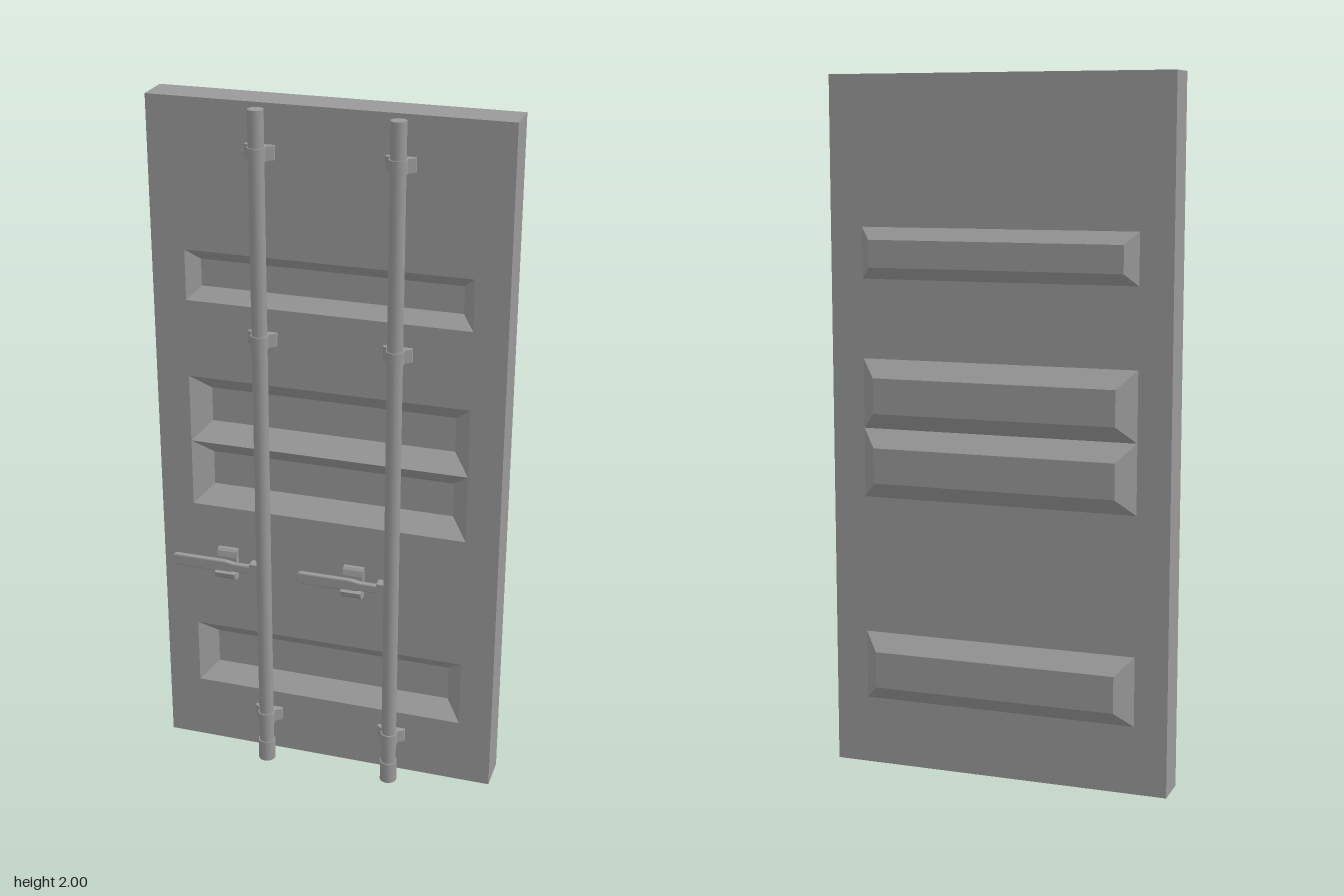
import * as THREE from 'three';

const W = 0.497, Y0 = 0.02, Y1 = 2, ZF = 0.049, ZB = -0.056; // door slab
const BAR_Z = 0.08;
// pressed panels: bottom, top, depth
const PANELS = [[0.216, 0.415, 0.047], [0.813, 1.012, 0.049], [1.012, 1.211, 0.049], [1.436, 1.581, 0.034]];
const PANEL_W = 0.402;

// flat-shaded geometry from four-cornered faces
function quads(list) {
  const pos = [];
  for (const [a, b, c, d] of list) pos.push(...a, ...b, ...c, ...a, ...c, ...d);
  const g = new THREE.BufferGeometry();
  g.setAttribute('position', new THREE.Float32BufferAttribute(pos, 3));
  g.computeVertexNormals();
  return g;
}

const rect = (w, y0, y1, z) => [[-w, y0, z], [w, y0, z], [w, y1, z], [-w, y1, z]];

// sheet with openings where the panels are pressed
function sheetGeometry() {
  const s = new THREE.Shape(rect(W, Y0, Y1, 0).map(p => new THREE.Vector2(p[0], p[1])));
  for (const [a, b] of [[0.216, 0.415], [0.813, 1.211], [1.436, 1.581]]) {
    s.holes.push(new THREE.Path(rect(PANEL_W, a, b, 0).reverse().map(p => new THREE.Vector2(p[0], p[1]))));
  }
  return new THREE.ShapeGeometry(s);
}

// sloped tray sinking towards -z; flipped it becomes the bulge on the back
function trayGeometry(y0, y1, d, z, flip) {
  const o = rect(PANEL_W, y0, y1, z), i = rect(PANEL_W - d, y0 + d, y1 - d, z - d);
  const faces = [i];
  for (let k = 0; k < 4; k++) {
    const n = (k + 1) % 4;
    faces.push([o[k], o[n], i[n], i[k]]);
  }
  return quads(flip ? faces.map(f => [...f].reverse()) : faces);
}

// prism with its outline in (z, y), running along x and centred on it
function prismX(points, length) {
  const s = new THREE.Shape(points.map(([z, y]) => new THREE.Vector2(-z, y)));
  const g = new THREE.ExtrudeGeometry(s, { depth: length, bevelEnabled: false });
  return g.translate(0, 0, -length / 2).rotateY(Math.PI / 2);
}

export function createModel() {
  const root = new THREE.Group();
  root.name = 'containerDoor';
  const steel = new THREE.MeshStandardMaterial({ color: 0x999999 });
  steel.name = 'greySteel';
  const add = (parent, name, geo, x = 0, y = 0, z = 0) => {
    const m = new THREE.Mesh(geo, steel);
    m.name = name;
    m.position.set(x, y, z);
    parent.add(m);
    return m;
  };

  // door slab
  const door = new THREE.Group();
  door.name = 'doorPanel';
  root.add(door);
  add(door, 'frontSheet', sheetGeometry(), 0, 0, ZF);
  add(door, 'backSheet', sheetGeometry().rotateY(Math.PI), 0, 0, ZB);
  const f = rect(W, Y0, Y1, ZF), b = rect(W, Y0, Y1, ZB);
  add(door, 'doorEdges', quads([0, 1, 2, 3].map(k => {
    const n = (k + 1) % 4;
    return [f[k], b[k], b[n], f[n]];
  })));
  for (const [y0, y1, d] of PANELS) {
    add(door, 'frontRecess', trayGeometry(y0, y1, d, ZF, false));
    add(door, 'backBulge', trayGeometry(y0, y1, d, ZB, true));
  }

  // clamp foot outline in (x, z), extruded upwards
  const footShape = new THREE.Shape([
    [-0.041, ZF], [-0.041, 0.058], [-0.022, 0.072], [0.022, 0.072], [0.041, 0.058], [0.041, ZF],
  ].map(([x, z]) => new THREE.Vector2(x, -z)));
  const footGeo = new THREE.ExtrudeGeometry(footShape, { depth: 0.038, bevelEnabled: false })
    .rotateX(-Math.PI / 2).translate(0, -0.019, 0);
  const ringGeo = new THREE.CylinderGeometry(0.025, 0.025, 0.038, 16);

  // handle grip: rounded blade that narrows towards the bar
  const grip = new THREE.Shape();
  grip.moveTo(-0.02, -0.013);
  grip.lineTo(-0.09, -0.013);
  grip.lineTo(-0.12, -0.018);
  grip.lineTo(-0.268, -0.018);
  grip.quadraticCurveTo(-0.284, -0.018, -0.284, 0);
  grip.quadraticCurveTo(-0.284, 0.018, -0.268, 0.018);
  grip.lineTo(-0.12, 0.018);
  grip.lineTo(-0.09, 0.013);
  grip.lineTo(-0.02, 0.013);
  const gripGeo = new THREE.ExtrudeGeometry(grip, {
    depth: 0.008, bevelEnabled: true, bevelThickness: 0.004, bevelSize: 0.004, bevelOffset: -0.004, bevelSegments: 2, curveSegments: 6,
  });

  // open hook that carries the handle
  const catchGeo = prismX([
    [ZF, 0.049], [0.056, 0.047], [0.062, 0.04], [0.066, 0.024], [0.066, -0.019],
    [0.082, -0.019], [0.082, -0.014], [0.09, -0.018], [0.086, -0.032], [0.074, -0.042], [ZF, -0.047],
  ], 0.06);

  // locking bars with their clamps and handles
  for (const x of [-0.18, 0.2]) {
    const lock = new THREE.Group();
    lock.name = 'lockingBar';
    lock.position.x = x;
    root.add(lock);
    add(lock, 'bar', new THREE.CylinderGeometry(0.0215, 0.0215, 1.97, 16), 0, 1.005, BAR_Z);
    add(lock, 'barFoot', new THREE.CylinderGeometry(0.025, 0.025, 0.065, 16), 0, 0.0325, BAR_Z);
    for (const y of [0.145, 1.352, 1.872]) {
      add(lock, 'clampFoot', footGeo, 0, y, 0);
      add(lock, 'clampRing', ringGeo, 0, y, BAR_Z);
    }
    add(lock, 'handleGrip', gripGeo, 0, 0.637, 0.07);
    add(lock, 'handleLug', new THREE.BoxGeometry(0.03, 0.046, 0.03), -0.027, 0.637, 0.074);
    add(lock, 'handleCatch', catchGeo, -0.118, 0.637, 0);
  }
  return root;
}
